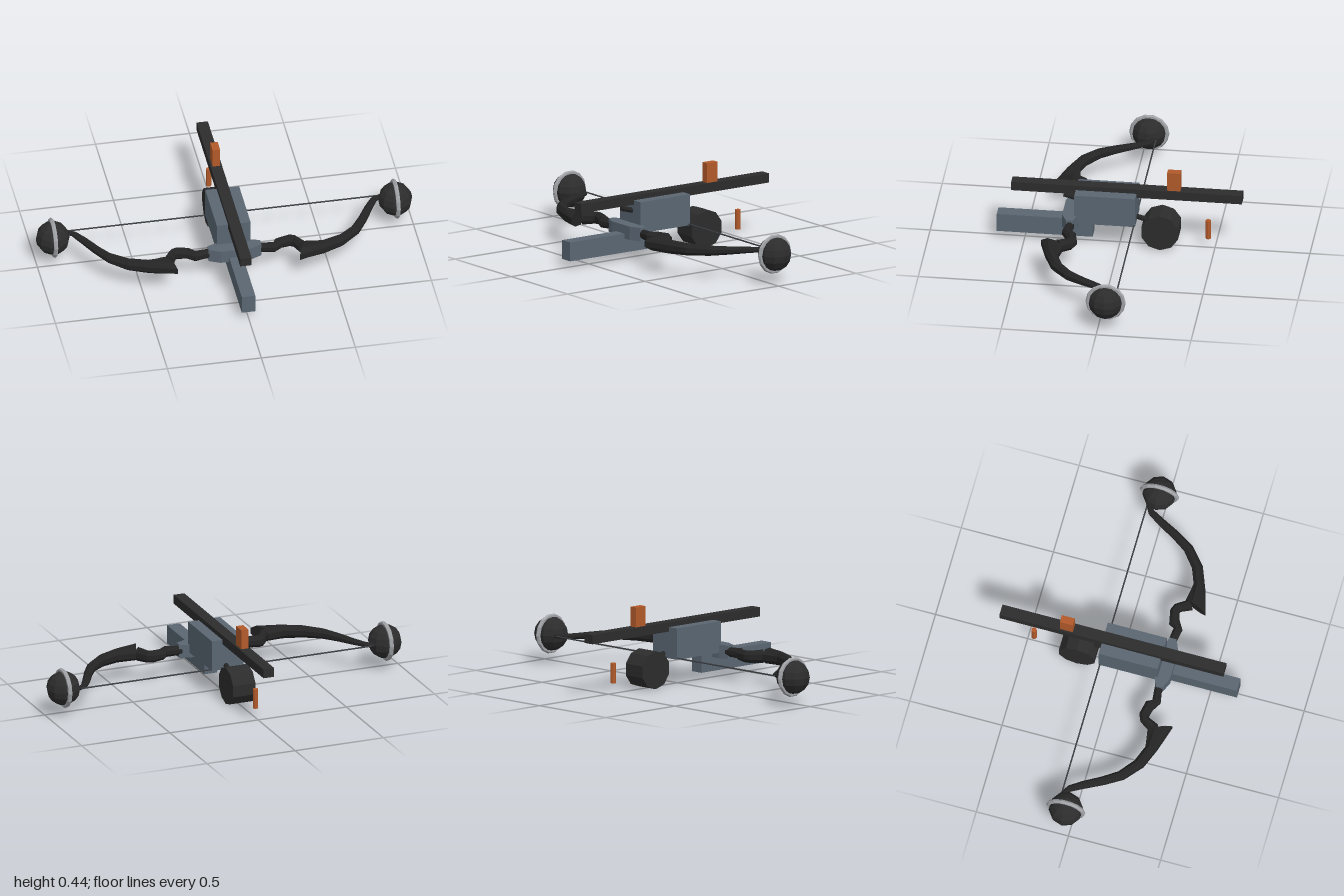
import * as THREE from 'three';

const mat = (name, color, flatShading = true) => {
  const m = new THREE.MeshStandardMaterial({ color, flatShading });
  m.name = name;
  return m;
};

// Tapered bar from sections [innerX, innerZ, outerX, outerZ, halfHeight]; side = 1 or -1 mirrors it in x
function loft(sections, side, y = 0.147, n = 8) {
  const pos = [], idx = [];
  const tri = (a, b, c) => (side > 0 ? idx.push(a, b, c) : idx.push(a, c, b));
  for (const [xi, zi, xo, zo, h] of sections) {
    for (let j = 0; j < n; j++) {
      const a = ((j + 0.5) / n) * Math.PI * 2, c = Math.cos(a) / Math.cos(Math.PI / n) / 2;
      pos.push(side * ((xi + xo) / 2 + (xo - xi) * c), y + (h * Math.sin(a)) / Math.cos(Math.PI / n), (zi + zo) / 2 + (zo - zi) * c);
    }
  }
  const last = (sections.length - 1) * n;
  for (let i = 0; i < sections.length - 1; i++) {
    for (let j = 0; j < n; j++) {
      const a = i * n + j, b = i * n + ((j + 1) % n);
      tri(a, a + n, b + n);
      tri(a, b + n, b);
    }
  }
  for (let j = 1; j < n - 1; j++) {
    tri(0, j, j + 1);
    tri(last, last + j + 1, last + j);
  }
  const g = new THREE.BufferGeometry();
  g.setAttribute('position', new THREE.Float32BufferAttribute(pos, 3));
  g.setIndex(idx);
  const flat = g.toNonIndexed();
  flat.computeVertexNormals();
  return flat;
}

export function createModel() {
  const root = new THREE.Group();
  root.name = 'crossbow';
  const dark = mat('charcoal', 0x2c2c2c);
  const black = mat('limbBlack', 0x242424);
  const slate = mat('slate', 0x5a6672);
  const orange = mat('copper', 0xb25a2a);
  const silver = mat('silver', 0xa0a2a6);
  const cord = mat('cordGrey', 0x3c3f42);

  const add = (name, geo, m, x = 0, y = 0, z = 0) => {
    const mesh = new THREE.Mesh(geo, m);
    mesh.name = name;
    mesh.position.set(x, y, z);
    root.add(mesh);
    return mesh;
  };
  // Box given by half width in x and its y and z ranges
  const box = (name, m, hx, y0, y1, z0, z1) =>
    add(name, new THREE.BoxGeometry(hx * 2, y1 - y0, z1 - z0), m, 0, (y0 + y1) / 2, (z0 + z1) / 2);
  // Round bar between two points
  const rod = (name, m, a, b, r, sides) => {
    const d = b.clone().sub(a);
    const mesh = add(name, new THREE.CylinderGeometry(r, r, d.length(), sides), m);
    mesh.position.copy(a).add(b).multiplyScalar(0.5);
    mesh.quaternion.setFromUnitVectors(new THREE.Vector3(0, 1, 0), d.normalize());
    return mesh;
  };

  // Stock
  box('rail', dark, 0.03, 0.282, 0.331, -0.645, 0.57);
  box('body', slate, 0.09, 0.14, 0.306, -0.09, 0.23);
  box('foregrip', slate, 0.036, 0.036, 0.137, 0.14, 0.645);
  box('rearSight', orange, 0.02, 0.331, 0.436, -0.32, -0.25);

  // Drum, its slanting rod, and the trigger
  const drum = add('drum', new THREE.CylinderGeometry(0.101, 0.101, 0.127, 10), dark, 0, 0.097, -0.217);
  drum.geometry.rotateY(Math.PI / 2);
  drum.rotation.z = Math.PI / 2;
  rod('drumRod', black, new THREE.Vector3(0.01, 0.13, -0.2), new THREE.Vector3(0.01, 0.268, 0.295), 0.014, 8);
  add('trigger', new THREE.CylinderGeometry(0.0145, 0.0145, 0.106, 8), orange, 0, 0.104, -0.465);

  // Riser block holding the limbs
  const outline = [[-0.14, 0.232], [-0.09, 0.215], [0.09, 0.215], [0.14, 0.232], [0.14, 0.268], [0.08, 0.295], [-0.08, 0.295], [-0.14, 0.268]];
  const riserGeo = new THREE.ExtrudeGeometry(
    new THREE.Shape(outline.map(([x, z]) => new THREE.Vector2(x, -z))), { depth: 0.072, bevelEnabled: false });
  riserGeo.rotateX(-Math.PI / 2);
  add('riser', riserGeo, slate, 0, 0.111, 0);

  // Elbowed arms, curved limbs and end weights, mirrored
  const arm = [
    [0.11, 0.225, 0.11, 0.268, 0.024], [0.165, 0.23, 0.155, 0.27, 0.024], [0.21, 0.235, 0.21, 0.28, 0.027],
    [0.225, 0.205, 0.26, 0.25, 0.027], [0.3, 0.19, 0.3, 0.24, 0.03], [0.335, 0.205, 0.31, 0.245, 0.031],
    [0.375, 0.265, 0.335, 0.3, 0.034],
  ];
  const limb = [
    [0.375, 0.255, 0.325, 0.375, 0.037], [0.47, 0.27, 0.46, 0.335, 0.034], [0.56, 0.235, 0.575, 0.29, 0.03],
    [0.64, 0.17, 0.67, 0.21, 0.025], [0.69, 0.095, 0.727, 0.118, 0.02], [0.74, 0.005, 0.775, 0.025, 0.015],
    [0.785, -0.062, 0.81, -0.04, 0.012], [0.835, -0.09, 0.85, -0.07, 0.01],
  ];
  for (const side of [1, -1]) {
    const label = side > 0 ? 'left' : 'right';
    add(label + 'Arm', loft(arm, side), black);
    add(label + 'Limb', loft(limb, side), black);
    add(label + 'EndWeight', new THREE.SphereGeometry(0.09, 10, 8), dark, side * 0.911, 0.147, -0.039);
    const ring = add(label + 'EndRing', new THREE.TorusGeometry(0.094, 0.012, 6, 14), silver, side * 0.911, 0.147, -0.039);
    ring.rotation.y = Math.PI / 2;
  }

  // Bowstring
  rod('bowstring', cord, new THREE.Vector3(-0.86, 0.147, -0.083), new THREE.Vector3(0.86, 0.147, -0.083), 0.004, 6);
  return root;
}
